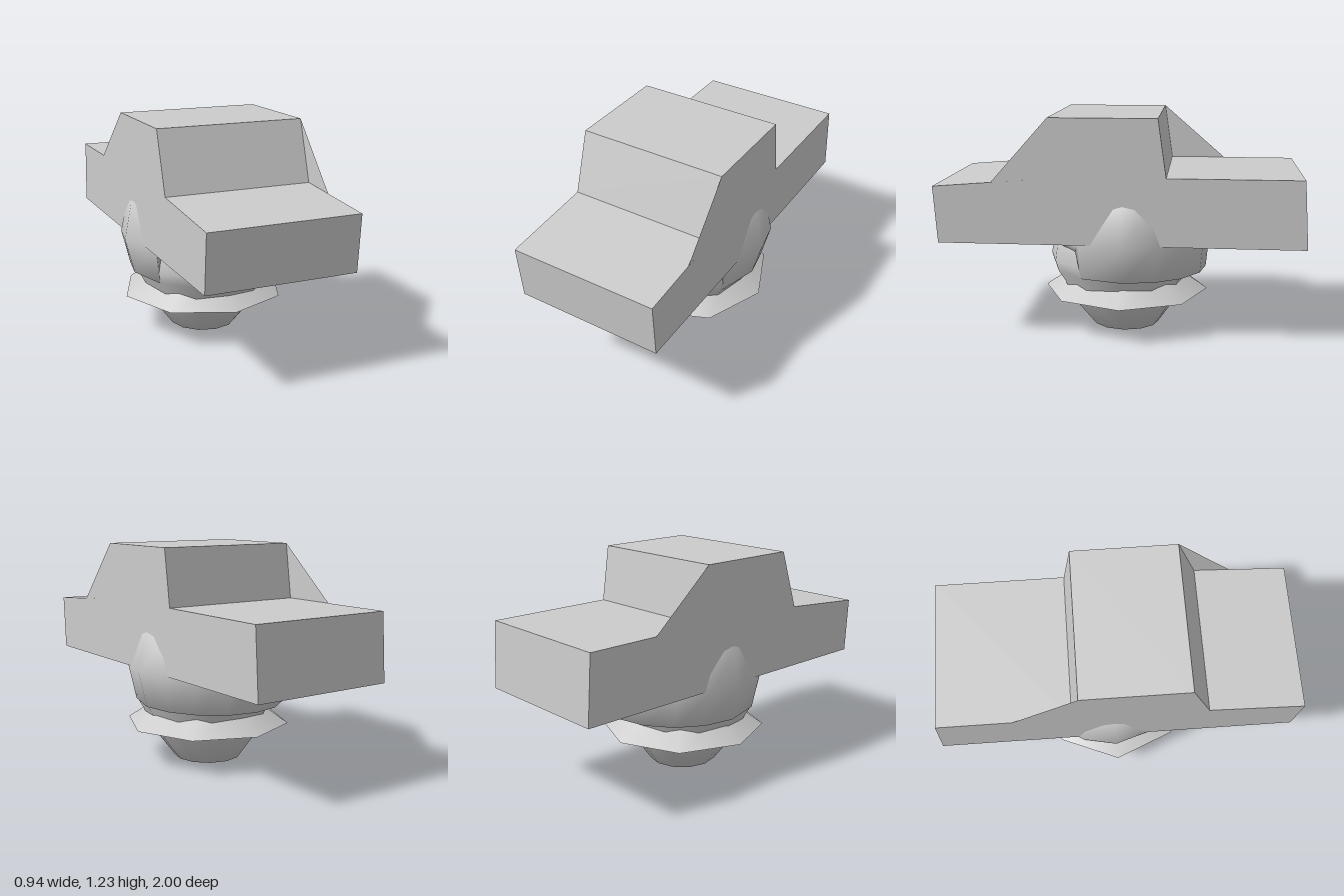
import * as THREE from 'three';

const grey = new THREE.MeshStandardMaterial({ color: 0xcccccc });
grey.name = 'light grey';
grey.side = THREE.DoubleSide;

const HALF = 0.413;

// Shape from [z, y] pairs; after rotateY(90 deg) shape x becomes -z
const sideShape = (pts) => new THREE.Shape(pts.map(([z, y]) => new THREE.Vector2(-z, y)));

function part(group, name, geometry) {
  const mesh = new THREE.Mesh(geometry, grey);
  mesh.name = name;
  group.add(mesh);
  return mesh;
}

// Stepped block: sloping front deck, raised cabin, flat rear deck
function carBody() {
  const profile = [[0.98, 0.545], [1, 0.855], [0.48, 0.897], [0.37, 1.227],
    [-0.21, 1.227], [-0.255, 0.915], [-0.975, 0.915], [-1, 0.545]];
  const geo = new THREE.ExtrudeGeometry(sideShape(profile), { depth: HALF * 2, bevelEnabled: false });
  return geo.translate(0, 0, -HALF).rotateY(Math.PI / 2);
}

// Flat triangular web on one side of the cabin
function web(pts, x) {
  return new THREE.ShapeGeometry(sideShape(pts)).rotateY(Math.PI / 2).translate(x, 0, 0);
}

// Open-fronted hair shell: columns run round the head, rows run upwards
function hairShell() {
  // [angle from the front in degrees, lower edge height]
  const half = [[0, 0.53], [17, 0.53], [20, 0.505], [54, 0.5], [57, 0.34], [90, 0.34], [113, 0.34], [135, 0.34], [158, 0.34]];
  const cols = [...half, [180, 0.34], ...half.slice(1).reverse().map(([a, y]) => [360 - a, y])];
  // [height, half width, depth to the front, depth to the back]
  const rings = [[0.34, 0.415, 0.42, 0.45], [0.54, 0.468, 0.44, 0.47], [0.745, 0.428, 0.38, 0.41],
    [0.87, 0.3, 0.27, 0.29], [0.93, 0.1, 0.1, 0.1]];
  const pos = [], idx = [];
  const rows = rings.length + 1;
  for (const [deg, low] of cols) {
    const a = THREE.MathUtils.degToRad(deg), s = Math.sin(a), c = Math.cos(a);
    const t = (low - 0.34) / 0.2;
    const mix = rings[0].map((v, i) => THREE.MathUtils.lerp(v, rings[1][i], t));
    // inner lip first, then the rings
    const column = [[low + 0.005, 0.33, 0.34, 0.33], [low, ...mix.slice(1)], ...rings.slice(1)];
    for (const [y, w, f, b] of column) pos.push(w * s, y, -0.02 + (c > 0 ? f : b) * c);
  }
  const n = cols.length;
  for (let i = 0; i < n; i++) {
    for (let j = 0; j < rows - 1; j++) {
      const a = i * rows + j, b = ((i + 1) % n) * rows + j;
      idx.push(a, b, b + 1, a, b + 1, a + 1);
    }
  }
  const geo = new THREE.BufferGeometry();
  geo.setAttribute('position', new THREE.Float32BufferAttribute(pos, 3));
  geo.setIndex(idx);
  geo.computeVertexNormals();
  return geo;
}

export function createModel() {
  const model = new THREE.Group();
  model.name = 'headWithCarHat';

  part(model, 'carBody', carBody());
  part(model, 'frontWeb', web([[0.37, 1.227], [0.48, 0.897], [0.68, 0.881]], HALF));
  part(model, 'rearWeb', web([[-0.21, 1.227], [-0.255, 0.915], [-0.57, 0.915]], -HALF));

  // Rounded head with a flat chin
  const outline = [[0, 0], [0.19, 0], [0.325, 0.18], [0.36, 0.28], [0.395, 0.34], [0.41, 0.4], [0.395, 0.51], [0.33, 0.65], [0, 0.75]];
  const headGeo = new THREE.LatheGeometry(outline.map(([r, y]) => new THREE.Vector2(r, y)), 12);
  const p = headGeo.attributes.position;
  for (let i = 0; i < p.count; i++) {
    // lean the face slightly forward above the chin
    p.setZ(i, p.getZ(i) * 1.01 - 0.01 + Math.min(p.getY(i), 0.4) * 0.06);
  }
  part(model, 'head', headGeo);

  part(model, 'hair', hairShell());

  // Flared collar, open underneath
  const collar = part(model, 'collar', new THREE.CylinderGeometry(0.31, 0.47, 0.11, 8, 1, true));
  collar.position.set(0, 0.26, -0.01);

  return model;
}
